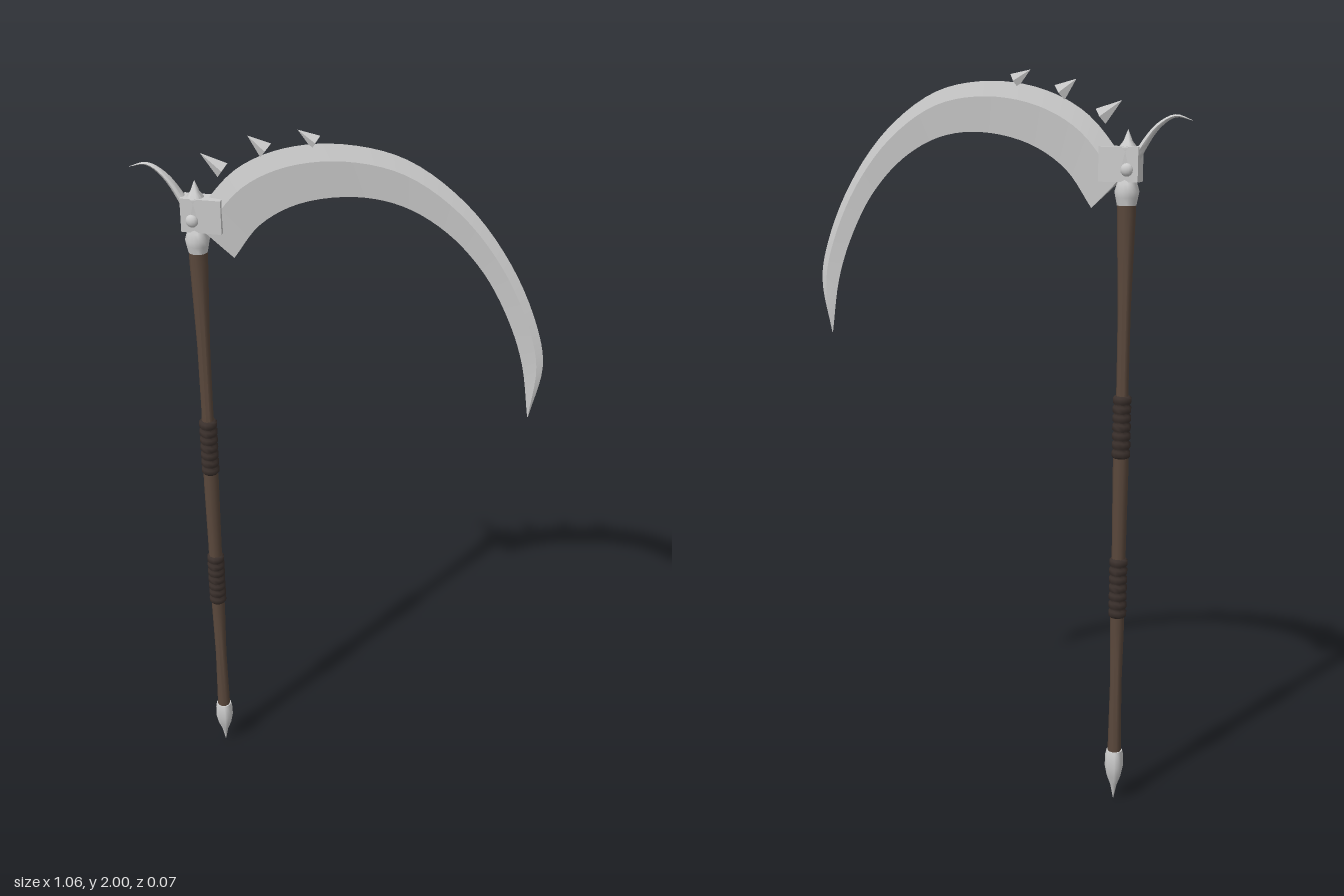
import * as THREE from 'three';
import { toCreasedNormals } from 'three/addons/utils/BufferGeometryUtils.js';

const AXIS = -0.365; // x of the shaft
const steel = new THREE.MeshStandardMaterial({ color: 0xcccccc });
const wood = new THREE.MeshStandardMaterial({ color: 0x5a483c });
const leather = new THREE.MeshStandardMaterial({ color: 0x3a302c });
const v = (x, y, z = 0) => new THREE.Vector3(x, y, z);

// Skin a row of equal-sized closed sections and cap both ends
function loft(sections, crease) {
  const n = sections[0].length;
  const index = [];
  for (let i = 0; i < sections.length - 1; i++) {
    for (let j = 0; j < n; j++) {
      const k = (j + 1) % n;
      const a = i * n + j, b = i * n + k;
      index.push(a, b, b + n, a, b + n, a + n);
    }
  }
  const last = (sections.length - 1) * n;
  for (let j = 1; j < n - 1; j++) index.push(0, j + 1, j, last, last + j, last + j + 1);
  const geometry = new THREE.BufferGeometry().setFromPoints(sections.flat());
  geometry.setIndex(index);
  return toCreasedNormals(geometry, crease);
}

// Turned part around the shaft axis; profile is [radius, y] from bottom to top
function turned(profile, sides, crease = 0.9) {
  const geometry = new THREE.LatheGeometry(profile.map(([r, y]) => new THREE.Vector2(r, y)), sides);
  return toCreasedNormals(geometry.toNonIndexed(), crease).translate(AXIS, 0, 0);
}

function bladeGeometry() {
  const curve = (pts) => new THREE.CatmullRomCurve3(pts.map(([x, y]) => v(x, y)));
  const outer = curve([[-0.375, 1.755], [-0.26, 1.888], [-0.14, 1.95], [0.01, 1.972], [0.167, 1.945],
    [0.315, 1.845], [0.43, 1.7], [0.505, 1.54], [0.528, 1.43], [0.501, 1.28]]);
  const inner = curve([[-0.27, 1.655], [-0.2, 1.75], [-0.1, 1.813], [0.04, 1.842], [0.16, 1.827],
    [0.27, 1.768], [0.365, 1.67], [0.435, 1.545], [0.475, 1.43], [0.499, 1.28]]);
  const sections = [];
  for (let i = 0; i <= 45; i++) {
    const t = i / 45;
    const o = outer.getPoint(t), n = inner.getPoint(t);
    const ridge = o.clone().lerp(n, 0.3);
    const half = 0.013 - 0.008 * t - (t > 0.95 ? (t - 0.95) * 0.08 : 0);
    sections.push([o, v(ridge.x, ridge.y, half), n, v(ridge.x, ridge.y, -half)]);
  }
  return loft(sections, 0.25);
}

function hornGeometry() {
  const path = new THREE.CatmullRomCurve3([v(-0.372, 1.75), v(-0.4, 1.805), v(-0.443, 1.863),
    v(-0.487, 1.888), v(-0.532, 1.877)]);
  const sections = [];
  for (let i = 0; i <= 16; i++) {
    const t = i / 16;
    const p = path.getPoint(t);
    const side = v(0, 0, 1).cross(path.getTangent(t));
    const size = 1 - 0.97 * t;
    const ring = [];
    for (let j = 0; j < 8; j++) {
      const a = (j / 8) * Math.PI * 2;
      ring.push(p.clone().addScaledVector(side, Math.cos(a) * 0.014 * size).add(v(0, 0, Math.sin(a) * 0.02 * size)));
    }
    sections.push(ring);
  }
  return loft(sections, 0.9);
}

// Flattened four-sided spike from the middle of its base to its tip
function spikeGeometry(base, tip, halfWidth) {
  const dir = tip.clone().sub(base);
  const geometry = new THREE.ConeGeometry(halfWidth, dir.length(), 4).toNonIndexed();
  geometry.scale(1, 1, 0.45);
  geometry.computeVertexNormals();
  geometry.rotateZ(Math.atan2(-dir.x, dir.y));
  const mid = base.clone().add(tip).multiplyScalar(0.5);
  return geometry.translate(mid.x, mid.y, 0);
}

export function createModel() {
  const model = new THREE.Group();
  model.name = 'scythe';
  const add = (name, geometry, material = steel) => {
    const mesh = new THREE.Mesh(geometry, material);
    mesh.name = name;
    model.add(mesh);
    return mesh;
  };

  // Wooden shaft, slightly uneven along its length
  add('shaft', turned([[0, 0.13], [0.019, 0.13], [0.016, 0.35], [0.019, 0.52], [0.019, 0.75],
    [0.021, 0.97], [0.016, 1.2], [0.017, 1.4], [0.024, 1.64], [0.024, 1.68], [0, 1.68]], 10), wood);

  // Ribbed leather grips
  for (const [name, y0] of [['lowerGrip', 0.55], ['upperGrip', 1.0]]) {
    const ribs = 7, pitch = 0.17 / ribs;
    const profile = [[0.015, y0]];
    for (let i = 0; i < ribs; i++) {
      const y = y0 + i * pitch;
      profile.push([0.021, y + pitch * 0.05], [0.025, y + pitch * 0.25],
        [0.025, y + pitch * 0.75], [0.021, y + pitch * 0.95]);
    }
    profile.push([0.015, y0 + 0.17]);
    add(name, turned(profile, 12), leather);
  }

  // Pointed end cap at the foot
  add('pommel', turned([[0, 0], [0.004, 0.02], [0.009, 0.045], [0.02, 0.075], [0.026, 0.105],
    [0.025, 0.14], [0.022, 0.152], [0, 0.152]], 16));

  // Head fittings: collar, neck, finial and blade socket
  add('collar', turned([[0, 1.665], [0.025, 1.665], [0.029, 1.685], [0.032, 1.7], [0.026, 1.72],
    [0.02, 1.735], [0, 1.735]], 16));
  add('neck', turned([[0.02, 1.73], [0.024, 1.76], [0.022, 1.8], [0.024, 1.81], [0.012, 1.825],
    [0, 1.855]], 16));
  add('socket', new THREE.BoxGeometry(0.105, 0.088, 0.044).translate(-0.347, 1.768, 0));
  for (const s of [1, -1]) {
    add(s > 0 ? 'frontRivet' : 'backRivet',
      new THREE.SphereGeometry(0.017, 12, 8).scale(1, 1, 0.7).translate(AXIS - 0.005, 1.755, s * 0.021));
  }
  add('horn', hornGeometry());

  // Blade with a raised ridge and a row of spikes along its back
  add('blade', bladeGeometry());
  const spikes = [
    [v(-0.291, 1.885), v(-0.347, 1.925), 0.023],
    [v(-0.18, 1.943), v(-0.225, 1.977), 0.023],
    [v(-0.055, 1.972), v(-0.1, 2.0), 0.02],
  ];
  spikes.forEach(([base, tip, w], i) => add('spike' + (i + 1), spikeGeometry(base, tip, w)));

  return model;
}
